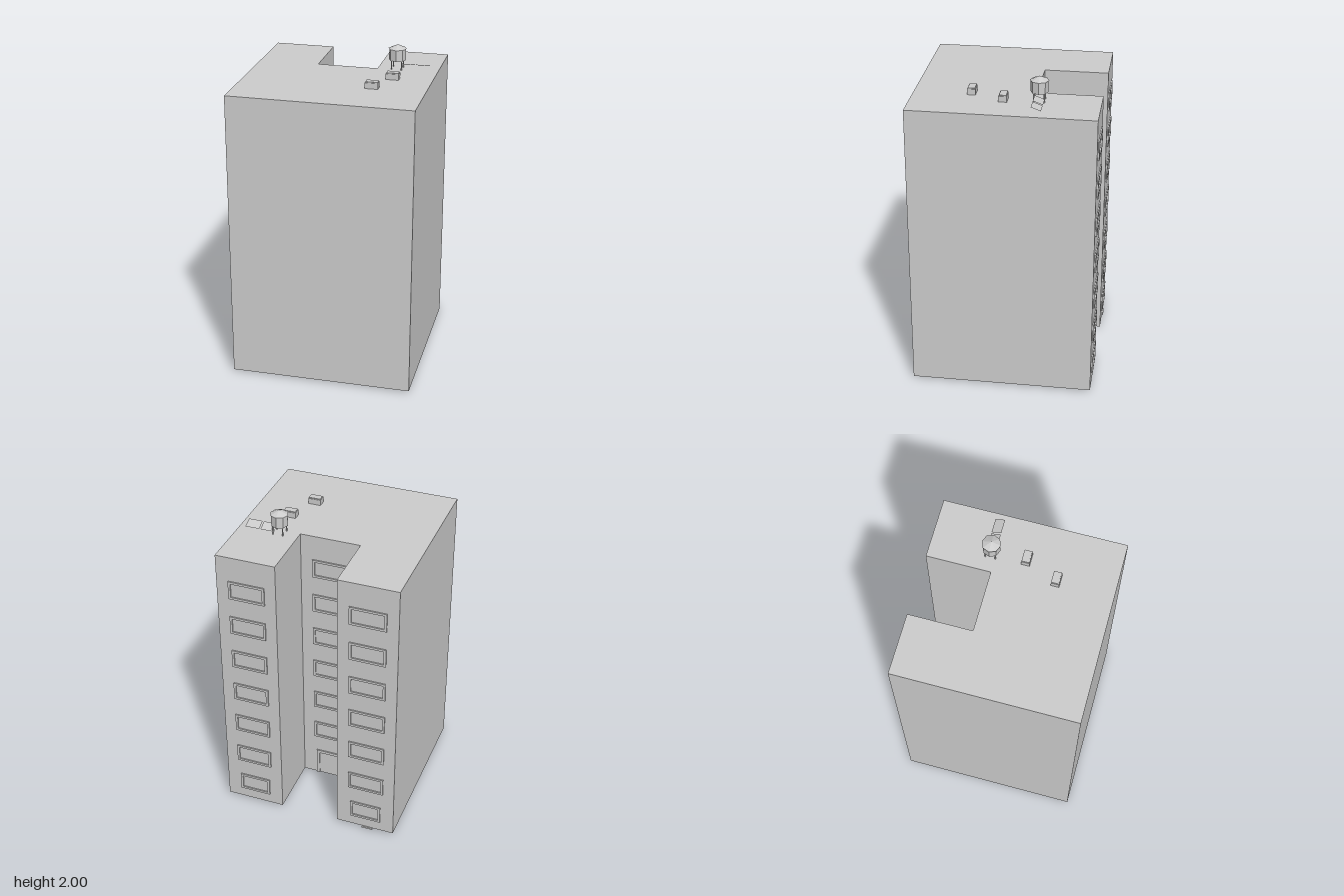
import * as THREE from 'three';

const grey = new THREE.MeshStandardMaterial({ color: 0xcccccc, flatShading: true, side: THREE.DoubleSide });
grey.name = 'plain grey';

const ROOF = 1.845, BASE = 0.01, BACK = -0.562, NOTCH = -0.167;

function add(parent, name, geometry, x = 0, y = 0, z = 0) {
  const mesh = new THREE.Mesh(geometry, grey);
  mesh.name = name;
  mesh.position.set(x, y, z);
  parent.add(mesh);
  return mesh;
}

// rectangular frame with an open centre, standing out from the back wall
function frameGeometry(w, h, border, openBottom) {
  const s = new THREE.Shape();
  const x = w / 2, y = h / 2, ix = x - border, iy = y - border;
  s.moveTo(-x, -y);
  if (openBottom) {
    s.lineTo(-ix, -y).lineTo(-ix, iy).lineTo(ix, iy).lineTo(ix, -y);
  }
  s.lineTo(x, -y).lineTo(x, y).lineTo(-x, y).closePath();
  if (!openBottom) {
    const hole = new THREE.Path();
    hole.moveTo(-ix, -iy).lineTo(-ix, iy).lineTo(ix, iy).lineTo(ix, -iy).closePath();
    s.holes.push(hole);
  }
  return new THREE.ExtrudeGeometry(s, { depth: 0.008, bevelEnabled: false });
}

export function createModel() {
  const model = new THREE.Group();
  model.name = 'apartmentBlock';

  // U-shaped tower block, extruded upwards
  const plan = new THREE.Shape();
  [[-0.567, -0.566], [0.567, -0.566], [0.567, -BACK], [0.19, -BACK], [0.19, -NOTCH],
    [-0.19, -NOTCH], [-0.19, -BACK], [-0.567, -BACK]]
    .forEach(([x, y], i) => (i ? plan.lineTo(x, y) : plan.moveTo(x, y)));
  const block = new THREE.ExtrudeGeometry(plan, { depth: ROOF - BASE, bevelEnabled: false });
  block.rotateX(-Math.PI / 2);
  add(model, 'building', block, 0, BASE, 0);

  // window columns on both wings and the courtyard wall
  const windows = new THREE.Group();
  windows.name = 'windows';
  model.add(windows);
  const upper = frameGeometry(0.23, 0.122, 0.015, false);
  const ground = frameGeometry(0.2, 0.12, 0.015, false);
  for (const [x, wall] of [[-0.38, BACK], [0, NOTCH], [0.376, BACK]]) {
    for (let floor = 0; floor < 7; floor++) {
      if (floor === 0 && x === 0) continue;
      const y = floor ? 0.128 + floor * 0.249 : 0.14;
      add(windows, 'windowFrame', floor ? upper : ground, x, y, wall - 0.008);
    }
  }

  // courtyard door and the small sill below the wing
  add(model, 'doorFrame', frameGeometry(0.2, 0.19, 0.02, true), 0, 0.105, NOTCH - 0.008);
  add(model, 'sill', new THREE.BoxGeometry(0.07, 0.012, 0.008), -0.395, 0.006, BACK - 0.003);

  // rooftop units with a shallow raised lid
  for (const [x, z] of [[0.24, 0.216], [0.325, 0.016]]) {
    add(model, 'roofUnit', new THREE.BoxGeometry(0.08, 0.036, 0.05), x, ROOF + 0.018, z);
    add(model, 'roofUnitLid', new THREE.BoxGeometry(0.074, 0.006, 0.042), x, ROOF + 0.039, z);
  }

  // tilted roof panels
  for (const x of [0.377, 0.474]) {
    const panel = add(model, 'tiltedPanel', new THREE.PlaneGeometry(0.088, 0.063), x, 1.875, -0.199);
    panel.rotation.x = -Math.PI / 2 - 0.35;
  }

  // octagonal water tank on four legs
  const tank = new THREE.Group();
  tank.name = 'waterTank';
  tank.position.set(0.31, 0, -0.195);
  model.add(tank);
  add(tank, 'tankBody', new THREE.CylinderGeometry(0.053, 0.053, 0.073, 8), 0, 1.9385, 0);
  add(tank, 'tankRoof', new THREE.ConeGeometry(0.057, 0.026, 8), 0, 1.987, 0);
  for (const sx of [-1, 1]) for (const sz of [-1, 1]) {
    add(tank, 'tankLeg', new THREE.CylinderGeometry(0.004, 0.004, 0.06, 6), sx * 0.031, 1.874, sz * 0.031);
  }
  return model;
}
